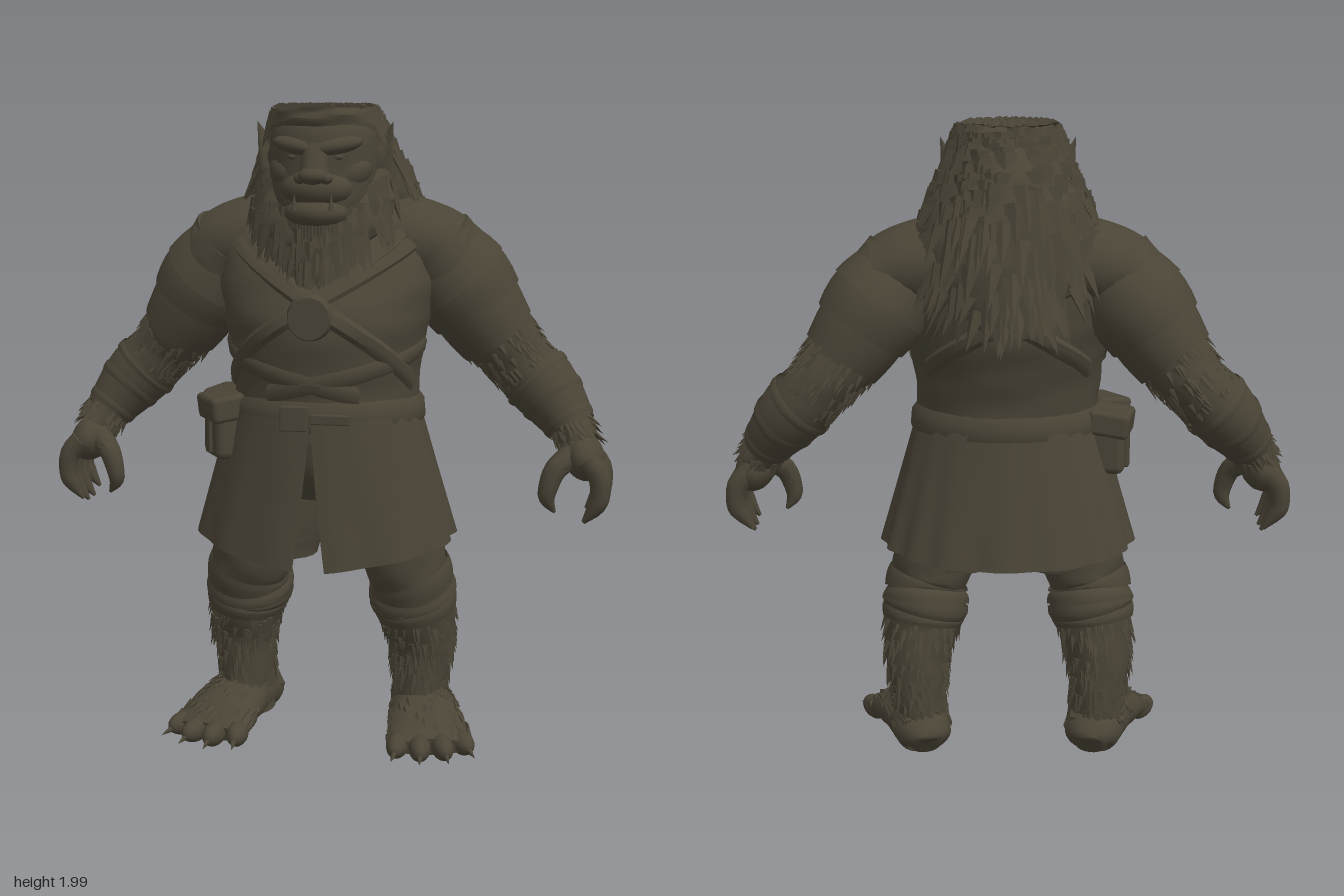
import * as THREE from 'three';
import { mergeGeometries, toCreasedNormals } from 'three/addons/utils/BufferGeometryUtils.js';
import { RoundedBoxGeometry } from 'three/addons/geometries/RoundedBoxGeometry.js';

const V = (x, y, z) => new THREE.Vector3(x, y, z);
const UP = V(0, 1, 0);
const lerp = THREE.MathUtils.lerp;
const hide = new THREE.MeshStandardMaterial({ color: 0x4a4436, side: THREE.DoubleSide });
hide.name = 'dark brown hide';

let seed = 7;
const rnd = () => (seed = (seed * 16807) % 2147483647) / 2147483647;

function add(parent, name, geo) {
  const m = new THREE.Mesh(geo, hide);
  m.name = name;
  parent.add(m);
  return m;
}

// Surface from a rule f(u, v)
function grid(nu, nv, f) {
  const pos = [], idx = [];
  for (let j = 0; j <= nv; j++) for (let i = 0; i <= nu; i++) pos.push(...f(i / nu, j / nv).toArray());
  for (let j = 0; j < nv; j++) for (let i = 0; i < nu; i++) {
    const a = j * (nu + 1) + i, b = a + nu + 1;
    idx.push(a, b, a + 1, a + 1, b, b + 1);
  }
  const g = new THREE.BufferGeometry();
  g.setAttribute('position', new THREE.Float32BufferAttribute(pos, 3));
  g.setIndex(idx);
  return toCreasedNormals(g, 0.7);
}

// Rings [x, y, z, radiusA, radiusB] -> point, outward normal and tangent at (t, angle); axis keeps rings level
function section(rings, { ref = V(0, 0, 1), axis } = {}) {
  const C = new THREE.CatmullRomCurve3(rings.map(r => V(r[0], r[1], r[2])), false, 'catmullrom');
  const R = new THREE.CatmullRomCurve3(rings.map(r => V(r[3], r[4], 0)), false, 'catmullrom');
  return (t, a, k = 1) => {
    const c = C.getPoint(t), r = R.getPoint(t), T = axis ? axis.clone() : C.getTangent(t);
    const A = T.clone().cross(ref).normalize(), B = A.clone().cross(T);
    const n = A.clone().multiplyScalar(Math.cos(a)).addScaledVector(B, Math.sin(a));
    return { p: c.addScaledVector(A, r.x * Math.cos(a) * k).addScaledVector(B, r.y * Math.sin(a) * k), n, T };
  };
}
function loft(rings, { sides = 24, steps = 5, rough = 0, ref, axis } = {}) {
  const s = section(rings, { ref, axis }), nv = (rings.length - 1) * steps;
  return grid(sides, nv + 2, (u, v) => {
    const j = Math.round(v * (nv + 2)), cap = j === 0 || j === nv + 2;
    const t = THREE.MathUtils.clamp((j - 1) / nv, 0, 1), a = u * Math.PI * 2;
    const k = 1 + rough * (Math.sin(3 * a + t * 40) + Math.sin(5 * a - t * 31)) * 0.5;
    return s(t, a, cap ? 0 : k).p;
  });
}
// Open flared band around a limb section
const band = (s, t0, t1, k0, k1) => grid(24, 4, (u, v) => s(lerp(t0, t1, v), u * Math.PI * 2, lerp(k0, k1, v) + 0.03 * Math.sin(v * Math.PI)).p);

// Pointed lock of hair
function lock(p, dir, n, len, w) {
  const g = new THREE.ConeGeometry(w, len, 4).toNonIndexed();
  g.translate(0, len * 0.4, 0).scale(1, 1, 0.5);
  g.computeVertexNormals();
  const x = dir.clone().cross(n).normalize(), z = x.clone().cross(dir);
  return g.applyMatrix4(new THREE.Matrix4().makeBasis(x, dir, z).setPosition(p));
}
// Fur over a section; flow is -1 against the path or 1 along it
function fur(rings, count, { t = [0, 1], a = [0, 2 * Math.PI], flow = -1, len = 0.06, w = 0.014, lift = 0.3, axis, ref }) {
  const s = section(rings, { ref, axis }), out = [];
  for (let i = 0; i < count; i++) {
    const q = s(lerp(t[0], t[1], (i + rnd()) / count), lerp(a[0], a[1], rnd()));
    const d = q.T.clone().multiplyScalar(flow).addScaledVector(q.n, lift * (0.6 + 0.7 * rnd())).normalize();
    out.push(lock(q.p, d, q.n, len * (0.7 + 0.6 * rnd()), w));
  }
  return mergeGeometries(out);
}
function ball(parent, name, p, r, rot = [0, 0, 0]) {
  const m = add(parent, name, new THREE.SphereGeometry(1, 18, 12));
  m.position.set(...p); m.scale.set(...r); m.rotation.set(...rot);
}
function box(parent, name, p, size, rot = [0, 0, 0]) {
  const m = add(parent, name, new RoundedBoxGeometry(...size, 2, Math.min(...size) * 0.2));
  m.position.set(...p); m.rotation.set(...rot);
}

const TORSO = [[0, 1, .05, .295, .25], [0, 1.12, .05, .285, .245], [0, 1.24, .045, .295, .265], [0, 1.36, .03, .32, .285],
  [0, 1.48, 0, .345, .255], [0, 1.6, -.04, .34, .205], [0, 1.72, -.03, .2, .14]];
const MANE = [[0, 1.38, -.235, .08, .05], [0, 1.48, -.2, .17, .09], [0, 1.6, -.14, .27, .15], [0, 1.74, -.075, .25, .19],
  [0, 1.86, -.01, .195, .2], [0, 1.94, .05, .165, .185], [0, 1.98, .075, .14, .155]];
const BEARD = [[0, 1.44, .235, .02, .025], [0, 1.55, .18, .11, .08], [0, 1.66, .12, .21, .11], [0, 1.8, .05, .2, .1]];
const ARM = [[.3, 1.56, -.05, .15, .16], [.4, 1.44, -.08, .145, .165], [.49, 1.31, -.1, .12, .14], [.57, 1.21, -.12, .1, .12],
  [.66, 1.12, -.11, .095, .11], [.74, 1.02, -.07, .07, .08], [.78, .96, -.04, .055, .075]];
const LEG = [[.28, .04, -.05, .085, .12], [.285, .17, -.05, .085, .122], [.29, .3, -.045, .102, .12], [.275, .42, -.02, .12, .14],
  [.265, .47, -.01, .13, .15], [.26, .53, .01, .122, .15], [.24, .6, .02, .13, .165], [.19, .82, .03, .15, .17]];
const FOOT = [[0, .05, -.135, .045, .04], [0, .075, -.1, .085, .07], [0, .09, .02, .1, .085], [0, .08, .13, .118, .068],
  [0, .052, .22, .13, .046], [0, .04, .27, .115, .03]];

function arm() {
  const g = new THREE.Group(), s = section(ARM);
  add(g, 'arm', loft(ARM, { rough: 0.03 }));
  // Layered shoulder armour
  [[0, .15, .85, 1.13], [.1, .25, 1.04, 1.13], [.2, .37, 1.02, 1.1]].forEach(b => add(g, 'shoulderPlate', band(s, ...b)));
  add(g, 'armFur', fur(ARM, 130, { t: [.36, .58], flow: 1, len: .045, lift: .2 }));
  // Bracer with straps and fur cuff
  add(g, 'bracer', band(s, .58, .86, 1.1, 1.12));
  [.6, .7, .81].forEach(t => add(g, 'bracerStrap', band(s, t, t + .035, 1.15, 1.15)));
  add(g, 'cuffFur', fur(ARM, 70, { t: [.85, 1], flow: 1, len: .04, lift: .4 }));
  // Clawed hand
  ball(g, 'palm', [.79, .925, -.025], [.062, .075, .105], [0, 0, .35]);
  [-.1, -.045, .012, .062].forEach((z, i) => {
    const d = [.02, 0, 0, .015][i];
    add(g, 'finger', loft([[.8, .93, z * .9, .036, .034], [.838, .885, z, .033, .031], [.845, .825, z, .03, .028],
      [.832, .775 + d, z, .026, .024], [.795, .725 + d, z, .005, .005]], { sides: 10, steps: 3 }));
  });
  add(g, 'thumb', loft([[.76, .94, .01, .04, .04], [.71, .9, .05, .035, .035], [.688, .845, .063, .03, .028],
    [.685, .805, .062, .024, .022], [.708, .765, .055, .005, .005]], { sides: 10, steps: 3 }));
  return g;
}

function leg() {
  const g = new THREE.Group(), s = section(LEG);
  add(g, 'leg', loft(LEG, { rough: 0.03 }));
  add(g, 'shorts', loft([[.19, .61, .03, .155, .165], [.18, .72, .03, .165, .185], [.16, .88, .03, .16, .2]], { rough: 0.02 }));
  [[.42, .5, 1.06, 1.04], [.5, .58, 1.03, 1.06], [.59, .67, 1.07, 1.02], [.68, .78, 1.08, 1.05]].forEach(b => add(g, 'kneeWrap', band(s, ...b)));
  add(g, 'legFur', fur(LEG, 220, { t: [.06, .44], len: .05, lift: .18 }));
  // Splayed furry foot with clawed toes
  const foot = new THREE.Group();
  foot.name = 'foot';
  foot.position.set(.29, 0, -.05);
  foot.rotation.y = .25;
  const ref = V(0, 1, 0);
  add(foot, 'footBody', loft(FOOT, { ref, rough: .02 }));
  // Ring angle PI/2 is the top of the foot
  add(foot, 'footFur', fur(FOOT, 70, { ref, t: [.2, .85], a: [.1, Math.PI - .1], flow: 1, len: .05, lift: .15 }));
  [-.1, -.035, .035, .1].forEach((x, i) => {
    const z = .28 - [.03, 0, .005, .045][i], yaw = x * 3;
    ball(foot, 'toe', [x, .042, z], [.034, .038, .065], [0, yaw, 0]);
    const claw = add(foot, 'toeClaw', new THREE.ConeGeometry(.018, .08, 8));
    claw.rotation.set(Math.PI / 2 + .25, 0, -yaw);
    claw.position.set(x * 1.18, .034, z + .06);
  });
  g.add(foot);
  return g;
}

function face() {
  const g = new THREE.Group();
  add(g, 'skull', loft([[0, 1.62, .13, .09, .1], [0, 1.7, .12, .14, .13], [0, 1.8, .09, .165, .15], [0, 1.89, .08, .165, .16],
    [0, 1.94, .07, .15, .15], [0, 1.965, .07, .1, .11]], { axis: UP }));
  ball(g, 'muzzle', [0, 1.745, .195], [.11, .06, .08]);
  ball(g, 'jaw', [0, 1.675, .195], [.1, .05, .085]);
  add(g, 'noseBridge', loft([[0, 1.77, .25, .055, .035], [0, 1.81, .24, .042, .04], [0, 1.88, .22, .04, .03]], { sides: 14, axis: UP }));
  ball(g, 'noseTip', [0, 1.785, .268], [.045, .025, .032]);
  for (const s of [-1, 1]) {
    ball(g, 'brow', [s * .06, 1.87, .21], [.08, .026, .038], [0, s * .35, s * .18]);
    ball(g, 'cheek', [s * .085, 1.79, .155], [.075, .055, .06], [0, s * .5, s * .4]);
    ball(g, 'eye', [s * .065, 1.838, .215], [.02, .01, .015]);
    ball(g, 'nostrilWing', [s * .038, 1.778, .256], [.02, .018, .024]);
    const tusk = add(g, 'tusk', new THREE.ConeGeometry(.01, .05, 8));
    tusk.position.set(s * .055, 1.71, .265);
    const ear = add(g, 'ear', new THREE.ConeGeometry(.05, .15, 8));
    ear.scale.z = .45;
    ear.position.set(s * .185, 1.87, .07);
    ear.rotation.set(0, s * -.5, s * -.35);
  }
  const chin = [];
  for (let i = 0; i < 26; i++) {
    const x = (i / 25 - .5) * .24;
    chin.push(lock(V(x, 1.665 + x * x * 2, .25 - x * x * 5), V(x, -1, .05).normalize(), V(0, 0, 1), .07 + .04 * rnd(), .018));
  }
  add(g, 'chinBeard', mergeGeometries(chin));
  // Swept-back hair over the flat crown
  const crown = [];
  for (let i = 0; i < 90; i++) {
    const r = Math.sqrt(rnd()), a = rnd() * Math.PI * 2;
    crown.push(lock(V(.14 * r * Math.cos(a), 1.982, .07 + .15 * r * Math.sin(a)), V(.3 * r * Math.cos(a), .1 * rnd(), -1).normalize(), UP, .07, .022));
  }
  add(g, 'crownHair', mergeGeometries(crown));
  return g;
}

// Skirt panel hanging from the belt between two angles (front is PI/2), with a hem sloping from h0 to h1
function skirt(a0, a1, h0, h1, k, slit0 = 0, slit1 = 0) {
  return grid(20, 8, (u, v) => {
    const a = lerp(a0 + slit0 * v, a1 - slit1 * v, u), r = k + .015 * v * Math.sin(u * 15);
    return V(lerp(.292, .4, v) * r * Math.cos(a), lerp(1.07, lerp(h0, h1, u), v), lerp(.05, .03, v) + lerp(.255, .31, v) * r * Math.sin(a));
  });
}
// Strap lying on the torso from (angle, height) to (angle, height)
const torso = section(TORSO, { axis: UP });
const strap = (a0, y0, a1, y1, w, k = 1.045) => grid(28, 4, (u, v) =>
  torso((lerp(y0, y1, u) + (v - .5) * w - 1) / .72, lerp(a0, a1, u), v === 0 || v === 1 ? 1 : k).p);

// Belt pouch whose outer side is its own -x
function pouch(parent, name, p, turn) {
  const g = new THREE.Group();
  g.name = name;
  g.position.set(...p);
  g.rotation.y = turn;
  box(g, 'pouchBody', [0, -.025, 0], [.12, .16, .14]);
  box(g, 'pouchFlap', [-.012, .055, 0], [.13, .08, .155], [0, 0, .12]);
  box(g, 'pouchStrap', [-.055, -.01, 0], [.03, .16, .035]);
  parent.add(g);
}

export function createModel() {
  const root = new THREE.Group(), P = Math.PI;
  root.name = 'beastWarrior';
  add(root, 'tunic', loft(TORSO, { sides: 36, rough: 0.01, axis: UP }));
  add(root, 'shoulderYoke', loft([[-.4, 1.54, -.07, .105, .145], [-.3, 1.565, -.06, .13, .168], [-.15, 1.59, -.06, .135, .17],
    [.15, 1.59, -.06, .135, .17], [.3, 1.565, -.06, .13, .168], [.4, 1.54, -.07, .105, .145]]));
  add(root, 'mane', loft(MANE, { rough: 0.03, axis: UP }));
  add(root, 'maneLocks', fur(MANE, 330, { t: [.1, .94], a: [P * .9, P * 2.1], len: .12, w: .034, lift: .42, axis: UP }));
  add(root, 'beard', loft(BEARD, { rough: 0.04, axis: UP }));
  add(root, 'beardLocks', fur(BEARD, 150, { t: [.1, .95], a: [-.2, P + .2], len: .09, w: .024, lift: .28, axis: UP }));
  const head = face();
  head.name = 'face';
  root.add(head);

  // Chest straps, wraps and medallion
  for (const s of [-1, 1]) {
    const f = P / 2, b = -P / 2;
    add(root, 'chestStrap', strap(f - s * .95, 1.6, f + s * 1.25, 1.17, .065));
    add(root, 'backStrap', strap(b - s * .95, 1.6, b + s * .95, 1.26, .065));
    add(root, 'waistWrap', strap(f - s * 1.5, 1.27, f + s * .5, 1.14, .055, 1.03));
    add(root, 'collarEdge', strap(f + s * .15, 1.46, f + s * .9, 1.64, .04));
  }
  const medal = add(root, 'medallion', new THREE.CylinderGeometry(.062, .072, .025, 24));
  medal.rotation.x = P / 2;
  medal.position.set(0, 1.375, .317);

  // Belt, buckle and pouches
  add(root, 'belt', strap(0, 1.075, P * 2, 1.075, .095, 1.06));
  box(root, 'buckle', [-.05, 1.075, .312], [.08, .075, .02]);
  box(root, 'beltTongue', [.06, 1.075, .31], [.12, .03, .02]);
  pouch(root, 'frontPouch', [-.29, 1.025, .15], .6);
  pouch(root, 'sidePouch', [-.31, 1.02, -.02], -.2);

  // Skirt panels
  add(root, 'skirtFrontLeft', skirt(.25, P / 2, .675, .615, 1.03, 0, .12));
  add(root, 'skirtFrontRight', skirt(P / 2, P - .25, .615, .675, 1.03, .12, 0));
  add(root, 'skirtSideLeft', skirt(-.55, .4, .68, .68, 1));
  add(root, 'skirtSideRight', skirt(P - .4, P + .55, .68, .68, 1));
  add(root, 'skirtBackLeft', skirt(-1.15, -.4, .66, .68, 1.02));
  add(root, 'skirtBackRight', skirt(P + .4, P + 1.15, .68, .66, 1.02));
  add(root, 'skirtBack', skirt(-P / 2 - .55, -P / 2 + .55, .66, .66, 1));
  add(root, 'hips', loft([[0, .8, .03, .16, .16], [0, .9, .04, .27, .22], [0, 1.03, .05, .28, .24]], { axis: UP }));

  for (const s of [1, -1]) {
    const side = s > 0 ? 'left' : 'right', a = arm(), l = leg();
    a.name = side + 'Arm';
    l.name = side + 'Leg';
    a.scale.x = l.scale.x = s;
    root.add(a, l);
  }
  return root;
}
